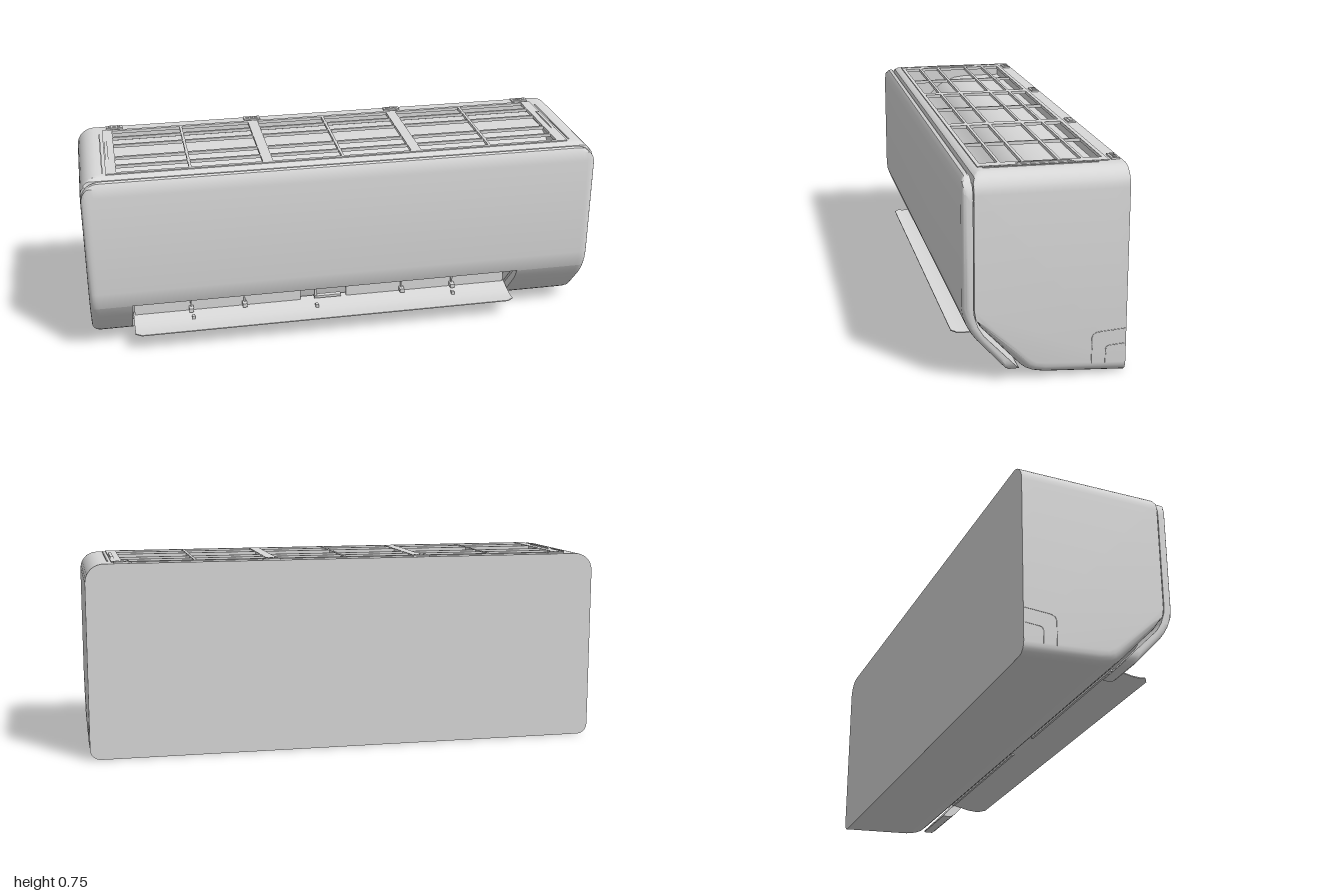
import * as THREE from 'three';
import { toCreasedNormals } from 'three/addons/utils/BufferGeometryUtils.js';

const V2 = (p) => new THREE.Vector2(p[0], p[1]);

// How far a rounded corner of radius r pulls the outline in at a given x
function drop(x, r) {
  const a = Math.abs(x) - (1 - r);
  return a > 0 ? r - Math.sqrt(Math.max(0, r * r - a * a)) : 0;
}

// Sweeps a closed [z, y] loop along x, with optional bending, gaps and end caps
function loft(xs, loop, bend = (x, p) => p, skip = () => false) {
  const pos = [];
  const rows = xs.map((x) => loop.map((p, j) => bend(x, p, j)));
  const n = loop.length;
  const put = (i, j) => pos.push(xs[i], rows[i][j % n][1], rows[i][j % n][0]);
  for (let i = 0; i + 1 < xs.length; i++) {
    for (let j = 0; j < n; j++) {
      if (skip((xs[i] + xs[i + 1]) / 2, j)) continue;
      put(i, j); put(i, j + 1); put(i + 1, j + 1);
      put(i, j); put(i + 1, j + 1); put(i + 1, j);
    }
  }
  for (const i of [0, xs.length - 1]) {
    const row = rows[i];
    for (const [a, b, c] of THREE.ShapeUtils.triangulateShape(row.map(V2), [])) {
      const ccw = V2(row[b]).sub(V2(row[a])).cross(V2(row[c]).sub(V2(row[a]))) > 0;
      const order = ccw === (i === 0) ? [a, b, c] : [a, c, b];
      order.forEach((q) => put(i, q));
    }
  }
  const g = new THREE.BufferGeometry();
  g.setAttribute('position', new THREE.Float32BufferAttribute(pos, 3));
  return toCreasedNormals(g, 0.6);
}

export function createModel() {
  const model = new THREE.Group();
  const plastic = new THREE.MeshStandardMaterial({ color: 0xd9d9d9, side: THREE.DoubleSide });
  plastic.name = 'light grey plastic';
  const add = (name, geo, x = 0, y = 0, z = 0) => {
    const m = new THREE.Mesh(geo, plastic);
    m.name = name;
    m.position.set(x, y, z);
    model.add(m);
  };
  const box = (name, w, h, d, x, y, z) => add(name, new THREE.BoxGeometry(w, h, d), x, y, z);

  const ends = [0.92, 0.935, 0.95, 0.965, 0.975, 0.985, 0.993, 0.998, 1];
  const minusEnds = ends.map((x) => -x).reverse();
  const outL = -0.84, outR = 0.71; // air outlet limits

  // Body: convex profile, rounded along the long top and bottom edges at the ends
  const body = [
    [-0.287, 0.742], [-0.235, 0.742], [0.21, 0.742], [0.228, 0.739], [0.241, 0.729], [0.247, 0.71],
    [0.247, 0.27], [0.241, 0.235], [0.222, 0.2], [0.085, 0.055], [0.065, 0.038], [0.04, 0.027],
    [0, 0.019], [-0.287, 0.002],
  ];
  const bodyBend = (x, p, j) => {
    if (j < 6) return [p[0], Math.min(p[1], 0.742 - drop(x, 0.07))];
    if (j < 8) return p;
    const a = body[j - 1], b = body[Math.min(j + 1, body.length - 1)];
    const len = Math.hypot(b[0] - a[0], b[1] - a[1]);
    const d = drop(x, 0.04) * (j === 8 ? 0.5 : 1);
    const dz = j === body.length - 1 ? 0 : d * (b[1] - a[1]) / len;
    return [p[0] + dz, p[1] - d * (b[0] - a[0]) / len];
  };
  add('body', loft([...minusEnds, -0.89, outL, outR, 0.89, ...ends], body, bodyBend,
    (x, j) => (j === 1 && Math.abs(x) < 0.89) || (j === 8 && x > outL && x < outR)));

  // Intake well with the curved filter surface below the grille
  const well = [
    [-0.235, 0.742], [-0.235, 0.7], [-0.08, 0.7], [-0.03, 0.694], [0.02, 0.676], [0.05, 0.655],
    [0.09, 0.615], [0.135, 0.59], [0.21, 0.585], [0.21, 0.742],
  ];
  add('intakeFilter', loft([-0.89, 0.89], well, undefined, (x, j) => j === 9));

  // Intake grille: plate with three groups of windows
  const rect = (P, x0, x1, z0, z1) => new P([[x0, z0], [x1, z0], [x1, z1], [x0, z1]].map(V2));
  const plate = rect(THREE.Shape, -0.9, 0.9, -0.24, 0.217);
  const rows = [[-0.225, -0.161], [-0.151, -0.08], [-0.07, 0.046], [0.057, 0.13], [0.14, 0.203]];
  for (const [a, b] of [[-0.86, -0.31], [-0.27, 0.27], [0.31, 0.86]]) {
    const m = (a + b) / 2;
    for (const [z0, z1] of rows) {
      plate.holes.push(rect(THREE.Path, a, m - 0.005, z0, z1), rect(THREE.Path, m + 0.005, b, z0, z1));
    }
  }
  const grille = new THREE.ExtrudeGeometry(plate, { depth: 0.012, bevelEnabled: false });
  add('intakeGrille', grille.rotateX(Math.PI / 2), 0, 0.745, 0);

  // Low rails beside the grille and the four rear mounting clips
  const rail = [[-0.13, 0.742], [-0.1, 0.75], [0.07, 0.75], [0.1, 0.742]];
  for (const s of [-1, 1]) {
    add('grilleRail', loft([s * 0.89 - 0.006, s * 0.89 + 0.006], rail));
    box('grilleSideRib', 0.005, 0.006, 0.4, s * 0.912, 0.742, 0);
  }
  for (const x of [-0.85, -0.29, 0.3, 0.86]) {
    box('mountingClip', 0.066, 0.008, 0.03, x, 0.744, -0.265);
    for (const k of [-1, 0, 1]) box('clipTooth', 0.012, 0.004, 0.014, x + k * 0.018, 0.749, -0.265);
  }

  // Front panel: full-width upper part and two lower cheeks beside the outlet
  const panelBend = (first, last) => (x, p, j) => {
    const rise = Math.max(0, 0.033 + drop(x, 0.05) - p[1]);
    const z = p[0] + 0.93 * rise - (j >= first && j <= last ? drop(x, 0.025) : 0);
    return [z, Math.min(p[1] + rise, 0.735 - drop(x, 0.08))];
  };
  const upper = [
    [0.25, 0.71], [0.252, 0.727], [0.26, 0.735], [0.272, 0.731], [0.282, 0.715], [0.287, 0.68],
    [0.287, 0.28], [0.283, 0.245], [0.27, 0.21], [0.234, 0.21], [0.247, 0.25], [0.25, 0.28],
  ];
  const lower = [
    [0.234, 0.21], [0.27, 0.21], [0.255, 0.183], [0.235, 0.156], [0.138, 0.049], [0.122, 0.037],
    [0.105, 0.033], [0.083, 0.035], [0.09, 0.046], [0.215, 0.178],
  ];
  add('frontPanel', loft([...minusEnds, ...ends], upper, panelBend(3, 8)));
  add('rightPanelCheek', loft([...minusEnds, outL], lower, panelBend(1, 5)));
  add('leftPanelCheek', loft([outR, ...ends], lower, panelBend(1, 5)));

  // Air outlet recess with louvres and pivots
  const duct = [[0.222, 0.2], [0.13, 0.2], [0.105, 0.16], [0.1, 0.075], [0.085, 0.055]];
  add('outletDuct', loft([outL, outR], duct, undefined, (x, j) => j === 4));
  for (const [a, b] of [[-0.83, -0.16], [0.03, 0.7]]) {
    box('innerLouvre', b - a, 0.08, 0.008, (a + b) / 2, 0.122, 0.125);
  }
  for (const x of [-0.605, -0.39, 0.26, 0.475]) {
    box('louvrePin', 0.006, 0.05, 0.012, x, 0.13, 0.134);
    box('louvrePivot', 0.018, 0.016, 0.03, x, 0.105, 0.145);
  }
  box('louvreMotor', 0.026, 0.05, 0.03, -0.105, 0.185, 0.14);
  box('louvreLever', 0.01, 0.06, 0.012, -0.1, 0.135, 0.14);
  box('louvreLink', 0.11, 0.01, 0.02, -0.05, 0.108, 0.14);

  // Open air flap: thin curved blade with cut-back front corners
  const flap = [
    [0.11, 0.096], [0.17, 0.083], [0.2, 0.077], [0.235, 0.075], [0.273, 0.078],
    [0.273, 0.074], [0.235, 0.071], [0.2, 0.073], [0.17, 0.079], [0.11, 0.092],
  ];
  add('airFlap', loft([outL + 0.005, outL + 0.03, outR - 0.03, outR - 0.005], flap,
    (x, p) => [Math.min(p[0], x < outL + 0.02 || x > outR - 0.02 ? 0.255 : 1), p[1]]));
  for (const x of [-0.6, -0.1, 0.47]) box('flapHinge', 0.012, 0.014, 0.016, x, 0.086, 0.178);

  // Knock-out outlines for the pipes on both sides
  const knockouts = [
    [[-0.165, 0.045], [-0.165, 0.14], [-0.17, 0.153], [-0.185, 0.16], [-0.283, 0.167]],
    [[-0.214, 0.045], [-0.214, 0.095], [-0.218, 0.104], [-0.228, 0.108], [-0.283, 0.112]],
  ];
  for (const s of [-1, 1]) {
    for (const line of knockouts) {
      const path = new THREE.CurvePath();
      const pts = line.map(([z, y]) => new THREE.Vector3(s * 0.999, y, z));
      for (let i = 1; i < pts.length; i++) path.add(new THREE.LineCurve3(pts[i - 1], pts[i]));
      add('pipeKnockout', new THREE.TubeGeometry(path, 40, 0.0022, 6));
    }
  }
  return model;
}
